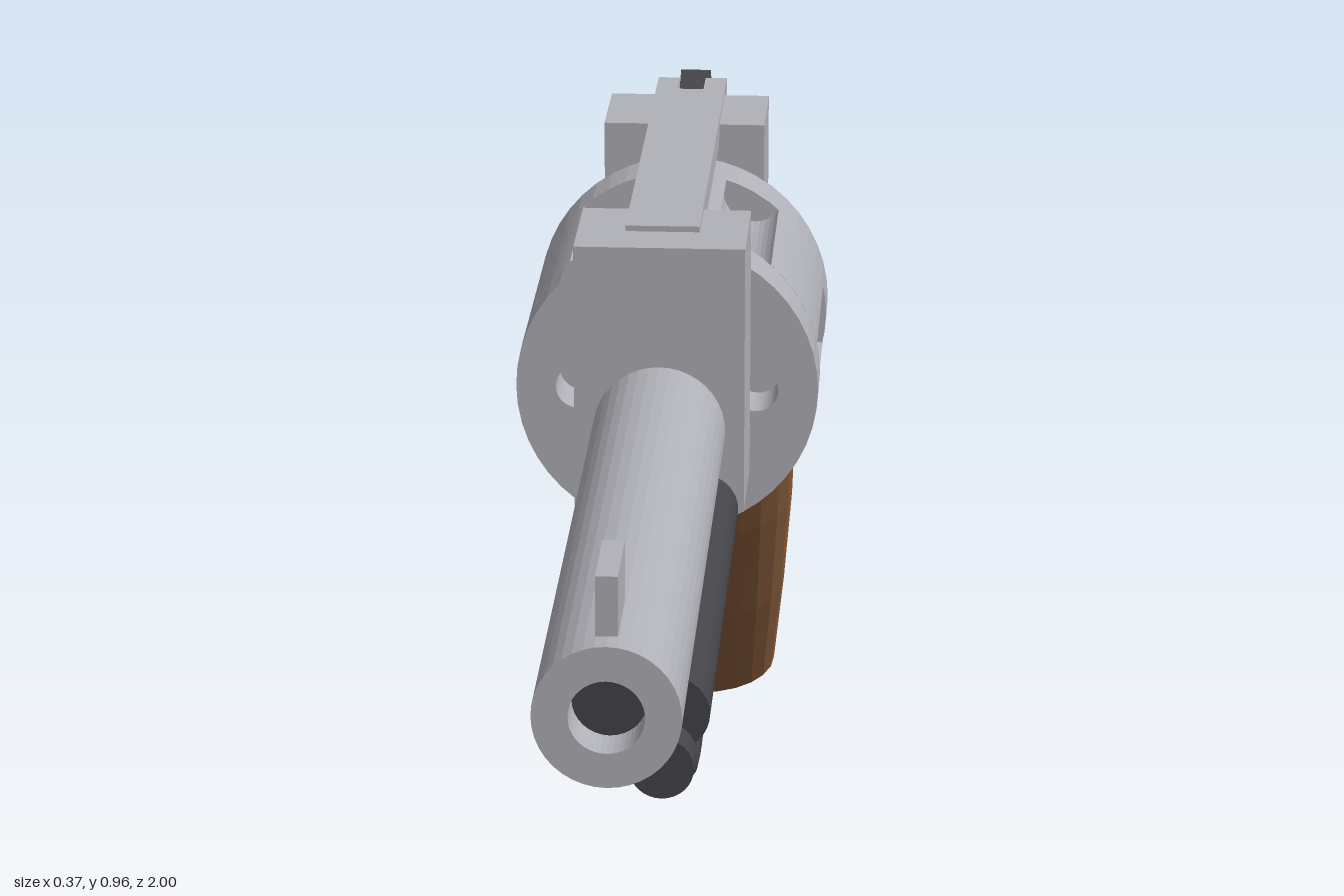
import * as THREE from 'three';

const AXIS_Y = 0.725; // height of the barrel axis

const material = (name, color, side = THREE.FrontSide) => {
  const m = new THREE.MeshStandardMaterial({ color, side });
  m.name = name;
  return m;
};

// faceted normals
function flat(geometry) {
  const g = geometry.index ? geometry.toNonIndexed() : geometry;
  g.computeVertexNormals();
  return g;
}

// loft of elliptical rings; each ring gives front and back [z, y] and a half width
function loft(rings, sides) {
  const pos = [], index = [];
  const centres = rings.map(({ front, back }) => [(front[0] + back[0]) / 2, (front[1] + back[1]) / 2]);
  rings.forEach(({ front, back, w }, r) => {
    const [cz, cy] = centres[r];
    for (let i = 0; i < sides; i++) {
      const a = (i / sides) * Math.PI * 2, c = Math.cos(a);
      pos.push(w * Math.sin(a), cy + c * (front[1] - cy), cz + c * (front[0] - cz));
    }
  });
  for (let r = 0; r < rings.length - 1; r++) {
    for (let i = 0; i < sides; i++) {
      const j = (i + 1) % sides, a = r * sides + i, b = r * sides + j;
      index.push(a, a + sides, b, b, a + sides, b + sides);
    }
  }
  // end caps
  const top = pos.length / 3, last = (rings.length - 1) * sides;
  pos.push(0, centres[0][1], centres[0][0]);
  pos.push(0, centres[rings.length - 1][1], centres[rings.length - 1][0]);
  for (let i = 0; i < sides; i++) {
    const j = (i + 1) % sides;
    index.push(top, i, j, top + 1, last + j, last + i);
  }
  const g = new THREE.BufferGeometry();
  g.setAttribute('position', new THREE.Float32BufferAttribute(pos, 3));
  g.setIndex(index);
  return flat(g);
}

export function createModel() {
  const model = new THREE.Group();
  model.name = 'revolver';
  const steel = material('light steel', 0xb0b0b8);
  const dark = material('dark steel', 0x444449);
  const wood = material('brown wood', 0x8b5e3c);

  const add = (name, geometry, mat, x = 0, y = 0, z = 0) => {
    const mesh = new THREE.Mesh(geometry, mat);
    mesh.name = name;
    mesh.position.set(x, y, z);
    model.add(mesh);
    return mesh;
  };
  // box from half width and y / z ranges
  const block = (name, mat, hw, y0, y1, z0, z1) =>
    add(name, new THREE.BoxGeometry(hw * 2, y1 - y0, z1 - z0), mat, 0, (y0 + y1) / 2, (z0 + z1) / 2);
  // cylinder along z
  const rod = (name, mat, r, x, y, z0, z1) =>
    add(name, flat(new THREE.CylinderGeometry(r, r, z1 - z0, 32).rotateX(Math.PI / 2)), mat, x, y, (z0 + z1) / 2);

  // barrel with a hollow muzzle
  const profile = [[0.08, 0], [0.08, 0.93], [0.041, 0.93], [0.041, 0.8], [0, 0.8]]
    .map(([r, h]) => new THREE.Vector2(r, h));
  add('barrel', flat(new THREE.LatheGeometry(profile, 40).rotateX(Math.PI / 2)), steel, 0, AXIS_Y, 0.07);
  rod('bore', dark, 0.0405, 0, AXIS_Y, 0.85, 0.95);
  block('frontSight', steel, 0.012, 0.813, 0.88, 0.88, 0.99);

  // ejector under the barrel
  rod('ejectorTube', dark, 0.044, 0.053, 0.632, 0.095, 0.755);
  rod('ejectorRod', dark, 0.0155, 0.053, 0.634, 0.75, 0.88);
  rod('ejectorKnob', dark, 0.035, 0.053, 0.634, 0.87, 0.917);

  // frame
  block('frontFrame', steel, 0.103, 0.622, 0.955, -0.083, 0.077);
  block('rearFrame', steel, 0.103, 0.553, 0.955, -0.602, -0.462);
  block('lowerFrame', steel, 0.075, 0.463, 0.553, -0.58, -0.078);

  // top strap with the rear sight notch
  const strap = new THREE.Shape([
    [-0.045, -0.01], [0.045, -0.01], [0.045, 0.66], [0.017, 0.66],
    [0.017, 0.605], [-0.017, 0.605], [-0.017, 0.66], [-0.045, 0.66],
  ].map(([x, y]) => new THREE.Vector2(x, y)));
  add('topStrap', new THREE.ExtrudeGeometry(strap, { depth: 0.033, bevelEnabled: false }).rotateX(-Math.PI / 2),
    steel, 0, 0.929, 0);

  // drum: plain ends, fluted middle, chamber holes in the front
  const R = 0.187, F = 0.039, STEP = Math.PI / 3;
  const frontShape = new THREE.Shape().absarc(0, 0, R, 0, Math.PI * 2, false);
  const rearShape = new THREE.Shape().absarc(0, 0, R, 0, Math.PI * 2, false);
  const fluted = new THREE.Shape();
  const d = 2 * Math.asin(F / (2 * R));
  for (let k = 0; k < 6; k++) {
    const a = k * STEP, n = a + STEP;
    fluted.absarc(0, 0, R, a + d, n - d, false);
    fluted.absarc(R * Math.cos(n), R * Math.sin(n), F, n - Math.PI / 2 - d / 2, n + Math.PI / 2 + d / 2, true);
    frontShape.holes.push(new THREE.Path()
      .absarc(0.11 * Math.cos(a), 0.11 * Math.sin(a), 0.028, 0, Math.PI * 2, true));
  }
  const drum = (name, shape, z0, z1, curveSegments) =>
    add(name, new THREE.ExtrudeGeometry(shape, { depth: z1 - z0, bevelEnabled: false, curveSegments }),
      steel, 0, AXIS_Y, z0);
  drum('drumFront', frontShape, -0.153, -0.082, 24);
  drum('drumFlutes', fluted, -0.39, -0.153, 8);
  drum('drumRear', rearShape, -0.463, -0.39, 24);

  // hammer and its spur
  block('hammer', dark, 0.035, 0.715, 0.88, -0.69, -0.61);
  const spur = add('hammerSpur', new THREE.BoxGeometry(0.04, 0.025, 0.105), dark, 0, 0.917, -0.7);
  spur.rotation.x = 0.43;

  // oval trigger guard and trigger
  const guard = add('triggerGuard', new THREE.TorusGeometry(0.2, 0.033, 16, 48).rotateY(Math.PI / 2),
    dark, 0, 0.337, -0.297);
  guard.scale.set(1, 0.9, 1.15);
  const trigger = add('trigger', new THREE.BoxGeometry(0.035, 0.12, 0.03), dark, 0, 0.392, -0.301);
  trigger.rotation.x = 0.16;

  // grip
  add('grip', loft([
    { front: [-0.43, 0.53], back: [-0.585, 0.597], w: 0.146 },
    { front: [-0.555, 0.35], back: [-0.715, 0.435], w: 0.137 },
    { front: [-0.7, 0.175], back: [-0.845, 0.26], w: 0.122 },
    { front: [-0.867, 0.004], back: [-0.995, 0.067], w: 0.103 },
  ], 24), wood);

  return model;
}
